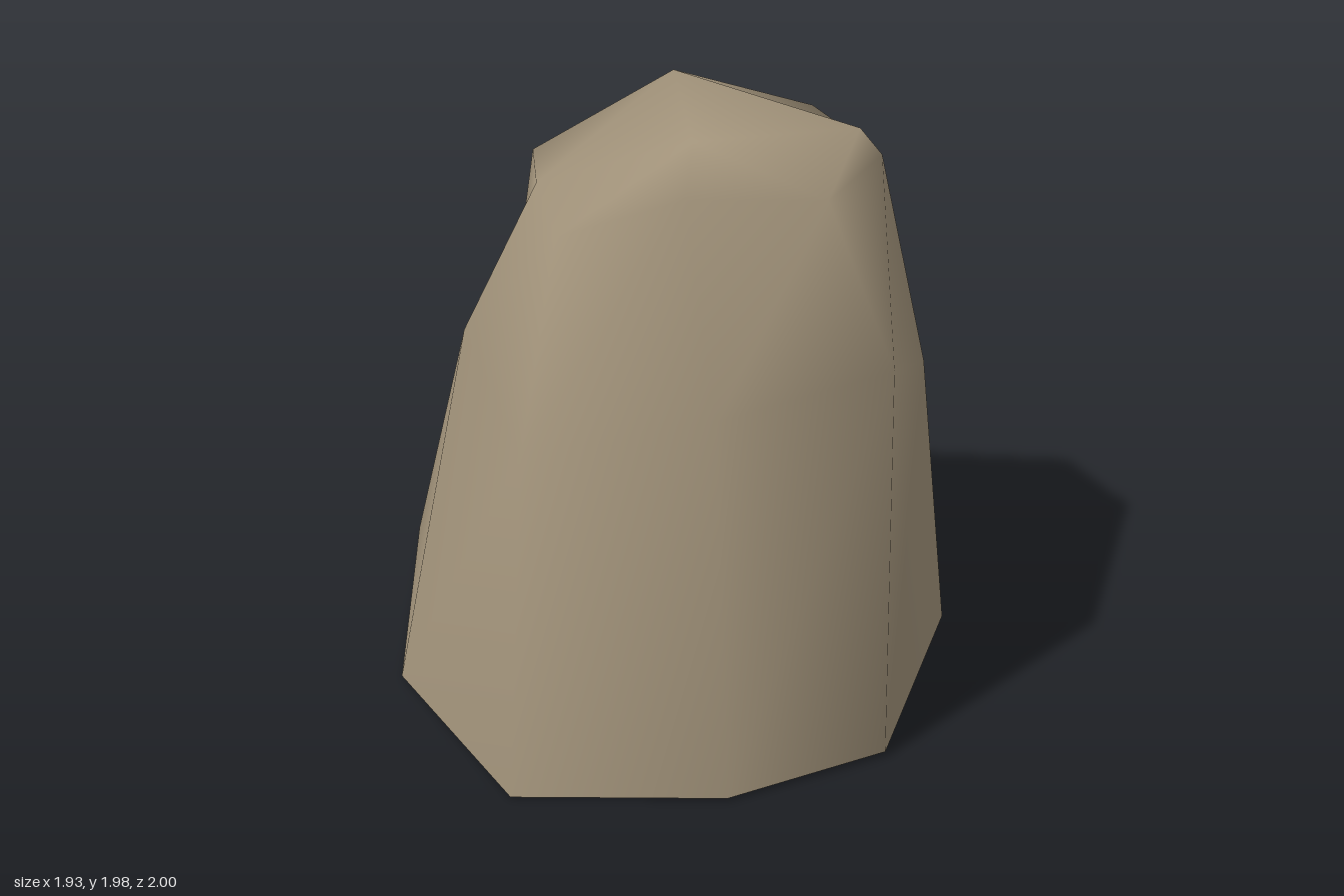
import * as THREE from 'three';

// Cross-sections of the boulder, eight points each, running
// left, back left, back, back right, right, front right, front, front left.
const base = [
  [-0.97, 0.03, -0.2], [-0.21, 0.03, -0.74], [0.46, 0.03, -1], [0.88, 0.02, -0.44],
  [0.96, 0.02, 0.35], [0.61, 0.01, 0.75], [0.02, 0, 1], [-0.58, 0.01, 0.6],
];
const middle = [
  [-0.55, 0.92, -0.13], [-0.2, 1.01, -0.56], [0.46, 1.01, -0.7], [0.85, 1.09, -0.16],
  [0.94, 1.33, 0.4], [0.53, 1.22, 0.69], [0.02, 1.09, 0.88], [-0.4, 1.2, 0.43],
];
const shoulder = [
  [-0.27, 1.72, 0.21], [-0.08, 1.74, -0.15], [0.42, 1.8, -0.28], [0.72, 1.77, -0.06],
  [0.71, 1.78, 0.35], [0.4, 1.83, 0.62], [0.05, 1.69, 0.7], [-0.12, 1.74, 0.48],
];
// Three crown points, and which of them each shoulder point rises to.
const crown = [[0.12, 1.98, 0.07], [0.37, 1.95, 0.5], [0.65, 1.84, -0.06]];
const crownOf = [0, 0, 0, 2, 1, 1, 1, 0];

function boulderGeometry() {
  const n = base.length;
  const points = [...base, ...middle, ...shoulder, ...crown];
  const index = [];
  const face = (a, b, c) => {
    if (a !== b && b !== c && a !== c) index.push(a, b, c);
  };
  const at = (tier, i) => (tier < 3 ? tier * n + (i % n) : 3 * n + crownOf[i % n]);
  // Walls between neighbouring sections; the underside stays open
  for (let t = 0; t < 3; t++) {
    for (let i = 0; i < n; i++) {
      face(at(t, i), at(t + 1, i), at(t, i + 1));
      face(at(t, i + 1), at(t + 1, i), at(t + 1, i + 1));
    }
  }
  // Crown facet
  face(3 * n, 3 * n + 1, 3 * n + 2);

  const geometry = new THREE.BufferGeometry();
  geometry.setAttribute('position', new THREE.Float32BufferAttribute(points.flat(), 3));
  geometry.setIndex(index);
  geometry.computeVertexNormals();
  return geometry;
}

export function createModel() {
  const stone = new THREE.MeshStandardMaterial({ color: 0xa4957c, side: THREE.DoubleSide });
  stone.name = 'stone';
  const boulder = new THREE.Mesh(boulderGeometry(), stone);
  boulder.name = 'boulder';
  const model = new THREE.Group();
  model.name = 'rock';
  model.add(boulder);
  return model;
}
